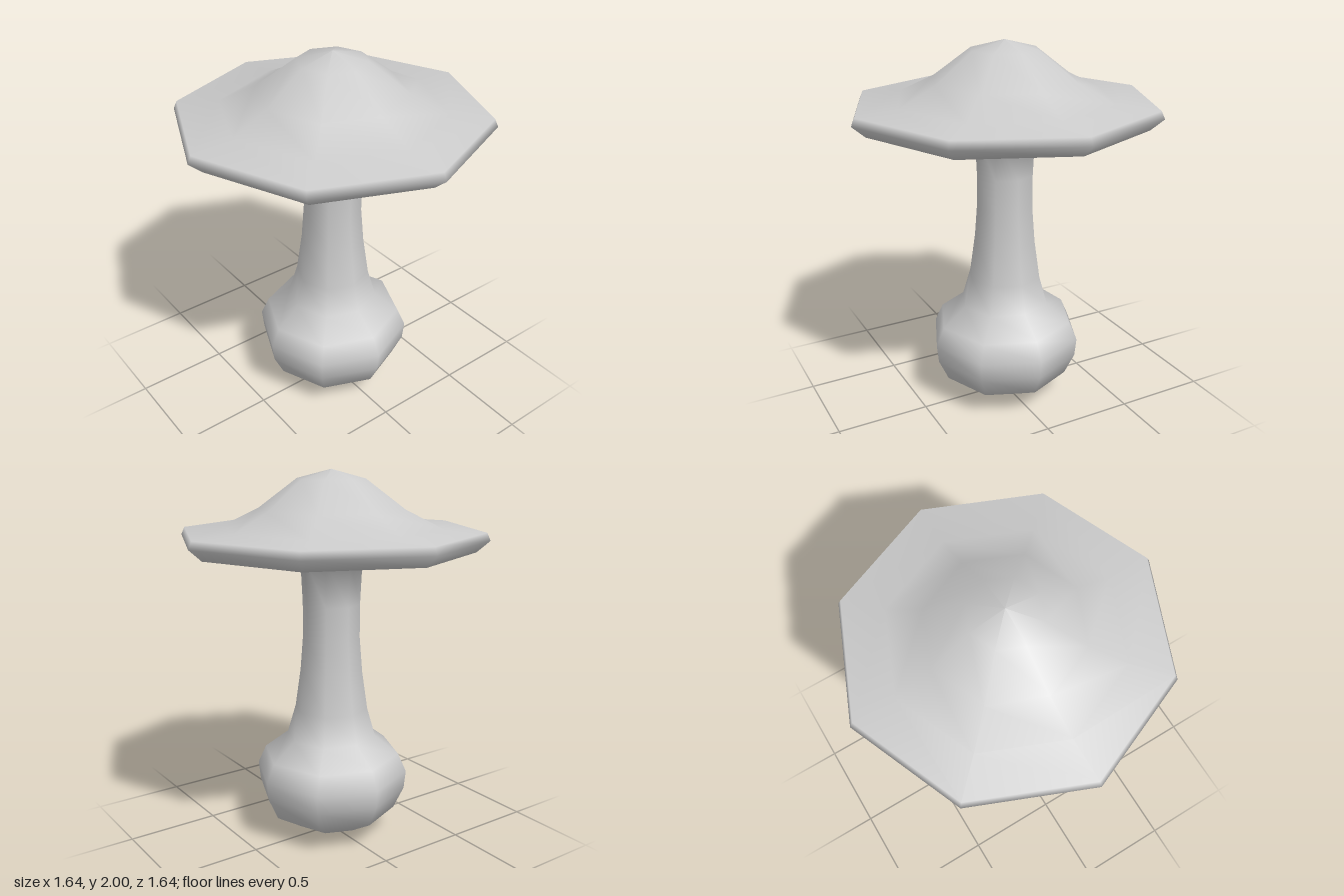
import * as THREE from 'three';

const SIDES = 8;

// Smooth eight-sided solid of revolution from [radius, height] pairs, bottom to top
function turned(name, profile) {
  const points = profile.map(([r, y]) => new THREE.Vector2(r, y));
  const material = new THREE.MeshStandardMaterial({ color: 0xcccccc, side: THREE.DoubleSide });
  const mesh = new THREE.Mesh(new THREE.LatheGeometry(points, SIDES), material);
  mesh.name = name;
  return mesh;
}

export function createModel() {
  const mushroom = new THREE.Group();
  mushroom.name = 'mushroom';

  // Bulbous foot, slender stalk, and the flat underside it spreads into
  mushroom.add(turned('stem', [
    [0, 0], [0.2, 0.05], [0.355, 0.145], [0.41, 0.265], [0.42, 0.365], [0.375, 0.465],
    [0.245, 0.565], [0.2, 0.72], [0.17, 0.93], [0.155, 1.12], [0.155, 1.3],
    [0.167, 1.55], [0.49, 1.55],
  ]));

  // Wide thin brim rising to a rounded crown
  mushroom.add(turned('cap', [
    [0.49, 1.55], [0.75, 1.59], [0.818, 1.65], [0.8, 1.69], [0.58, 1.705],
    [0.385, 1.8], [0.18, 1.953], [0, 2],
  ]));

  return mushroom;
}
